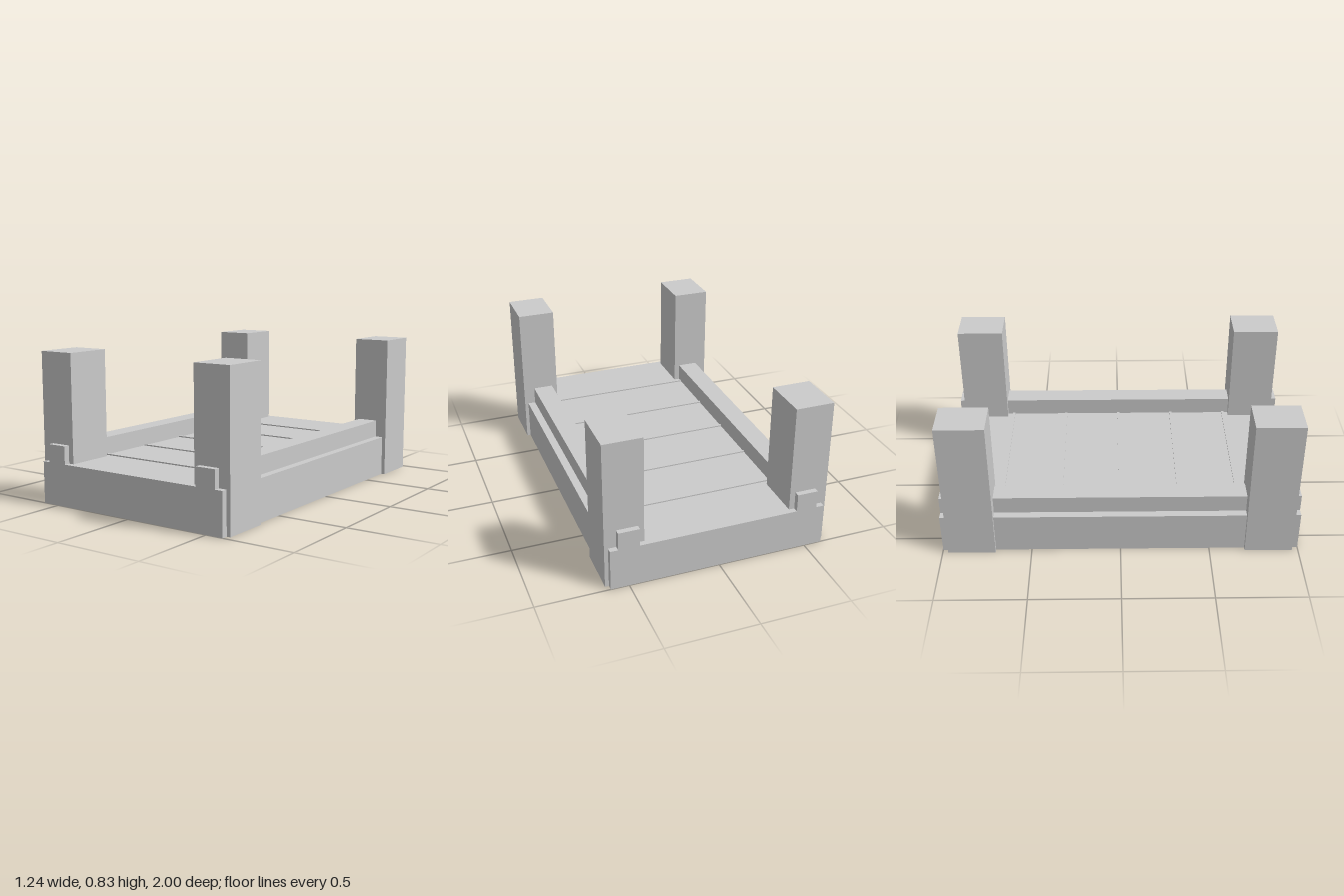
import * as THREE from 'three';

export function createModel() {
  const model = new THREE.Group();
  const material = new THREE.MeshStandardMaterial({ color: 0xcccccc, flatShading: true });

  const add = (name, geometry, x = 0, y = 0, z = 0) => {
    const mesh = new THREE.Mesh(geometry, material);
    mesh.name = name;
    mesh.position.set(x, y, z);
    model.add(mesh);
  };

  // Deck and its two raised rails, one profile running front to back
  const half = [[0.6, 0], [0.6, 0.233], [0.556, 0.233], [0.556, 0.333], [0.44, 0.333], [0.44, 0.233]];
  const mirrored = half.map(([x, y]) => [-x, y]).reverse();
  const profile = new THREE.Shape([...half, ...mirrored].map(([x, y]) => new THREE.Vector2(x, y)));
  const deck = new THREE.ExtrudeGeometry(profile, { depth: 2, bevelEnabled: false });
  deck.translate(0, 0, -1);
  add('deckWithRails', deck);

  // Thin strips dividing the deck into six planks
  for (let i = -2; i <= 2; i++) {
    add('plankStrip', new THREE.BoxGeometry(0.88, 0.014, 0.015), 0, 0.233, i / 3);
  }

  // Corner posts
  for (const [side, x] of [['left', 0.514], ['right', -0.516]]) {
    for (const [end, z] of [['Front', 0.833], ['Back', -0.836]]) {
      add(side + end + 'Post', new THREE.BoxGeometry(0.214, 0.833, 0.267), x, 0.4165, z);
    }
  }

  return model;
}
